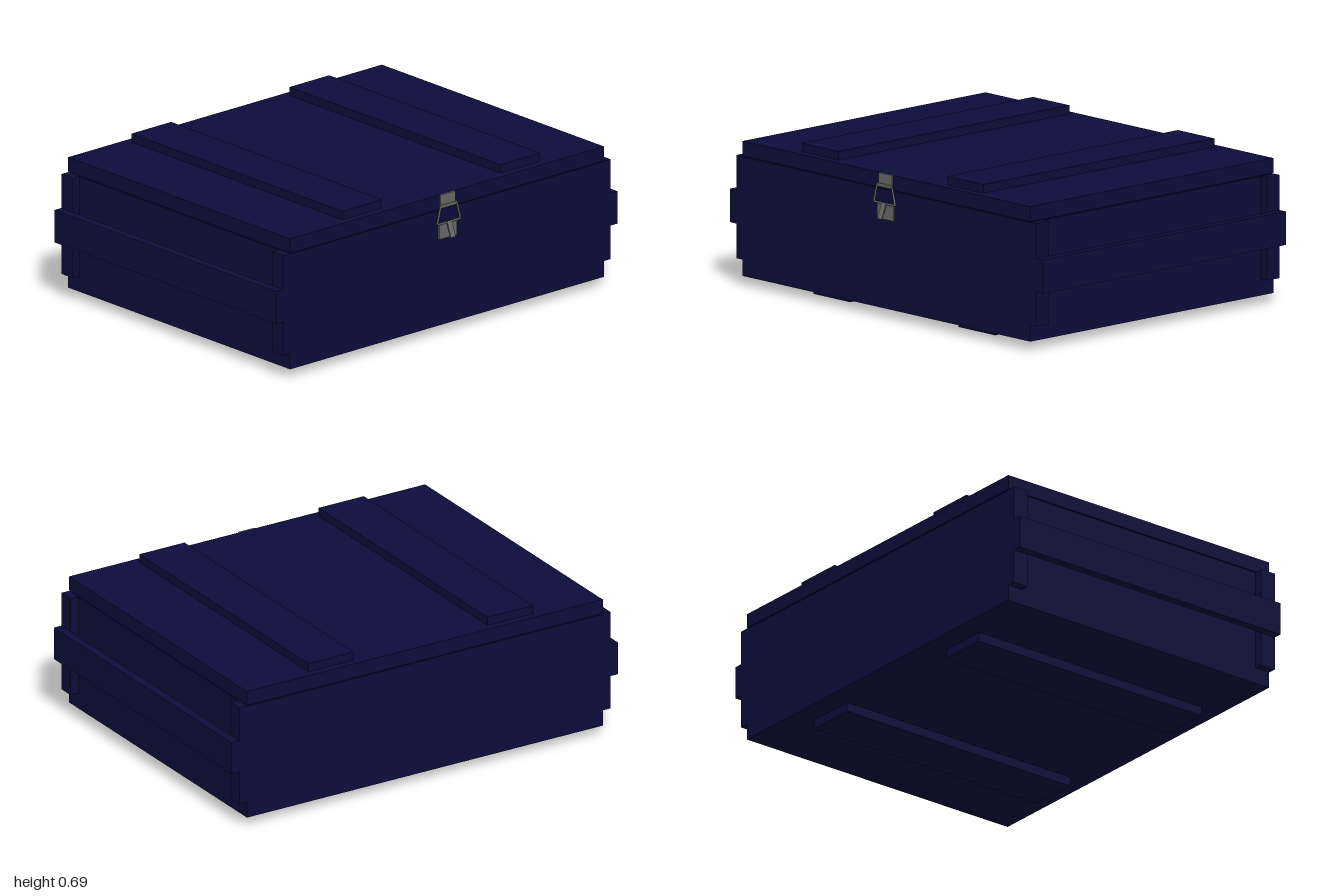
import * as THREE from 'three';

export function createModel() {
  const crate = new THREE.Group();
  crate.name = 'crate';
  const paint = new THREE.MeshStandardMaterial({ color: 0x0c0c3b });
  paint.name = 'navy paint';
  const steel = new THREE.MeshStandardMaterial({ color: 0x686866 });
  steel.name = 'grey steel';

  // Box given by its lower and upper corners
  function slab(name, [x0, x1], [y0, y1], [z0, z1], material = paint, parent = crate) {
    const mesh = new THREE.Mesh(new THREE.BoxGeometry(x1 - x0, y1 - y0, z1 - z0), material);
    mesh.position.set((x0 + x1) / 2, (y0 + y1) / 2, (z0 + z1) / 2);
    mesh.name = name;
    parent.add(mesh);
    return mesh;
  }

  const L = -0.75, R = 0.705;

  // Lower box and lid, with a fine seam between them
  slab('lowerBox', [L, R], [0.042, 0.575], [-0.92, 0.92]);
  slab('seamCore', [L + 0.01, R - 0.01], [0.57, 0.585], [-0.91, 0.91]);
  slab('lid', [L, R], [0.579, 0.646], [-0.92, 0.92]);

  for (const s of [-1, 1]) {
    const span = (a, b) => (s > 0 ? [a, b] : [-b, -a]);
    // Battens across the lid and skids beneath
    slab('lidBatten', [-0.715, 0.668], [0.646, 0.685], span(0.347, 0.58));
    slab('skid', [-0.645, 0.598], [0, 0.042], span(0.347, 0.58));
    // Upright cleats and the carrying rail on each end
    slab('endCleat', [L, -0.675], [0.115, 0.577], span(0.92, 0.96));
    slab('endCleat', [0.63, R], [0.115, 0.577], span(0.92, 0.96));
    slab('carryingRail', [L, R], [0.27, 0.42], span(0.96, 1));
  }

  // Toggle latch on the left side
  const latch = new THREE.Group();
  latch.name = 'latch';
  crate.add(latch);
  slab('catchPlate', [R, 0.712], [0.595, 0.646], [-0.043, 0.043], steel, latch);
  slab('catchLip', [R, 0.721], [0.587, 0.6], [-0.043, 0.043], steel, latch);
  slab('latchBase', [R, 0.713], [0.442, 0.515], [-0.052, 0.052], steel, latch);

  // Wire bail: a closed trapezium from catch to base
  const corners = [[0.597, -0.047], [0.597, 0.047], [0.515, 0.068], [0.515, -0.068]]
    .map(([y, z]) => new THREE.Vector3(0.717, y, z));
  const bail = new THREE.CurvePath();
  corners.forEach((p, i) => bail.add(new THREE.LineCurve3(p, corners[(i + 1) % 4])));
  const wire = new THREE.Mesh(new THREE.TubeGeometry(bail, 48, 0.005, 8, true), steel);
  wire.name = 'wireBail';
  latch.add(wire);

  // Narrow lever, tilted outward at its lower end
  const lever = slab('lever', [0.729, 0.735], [0.447, 0.52], [-0.014, 0.014], steel, latch);
  lever.rotation.z = 0.35;

  return crate;
}
